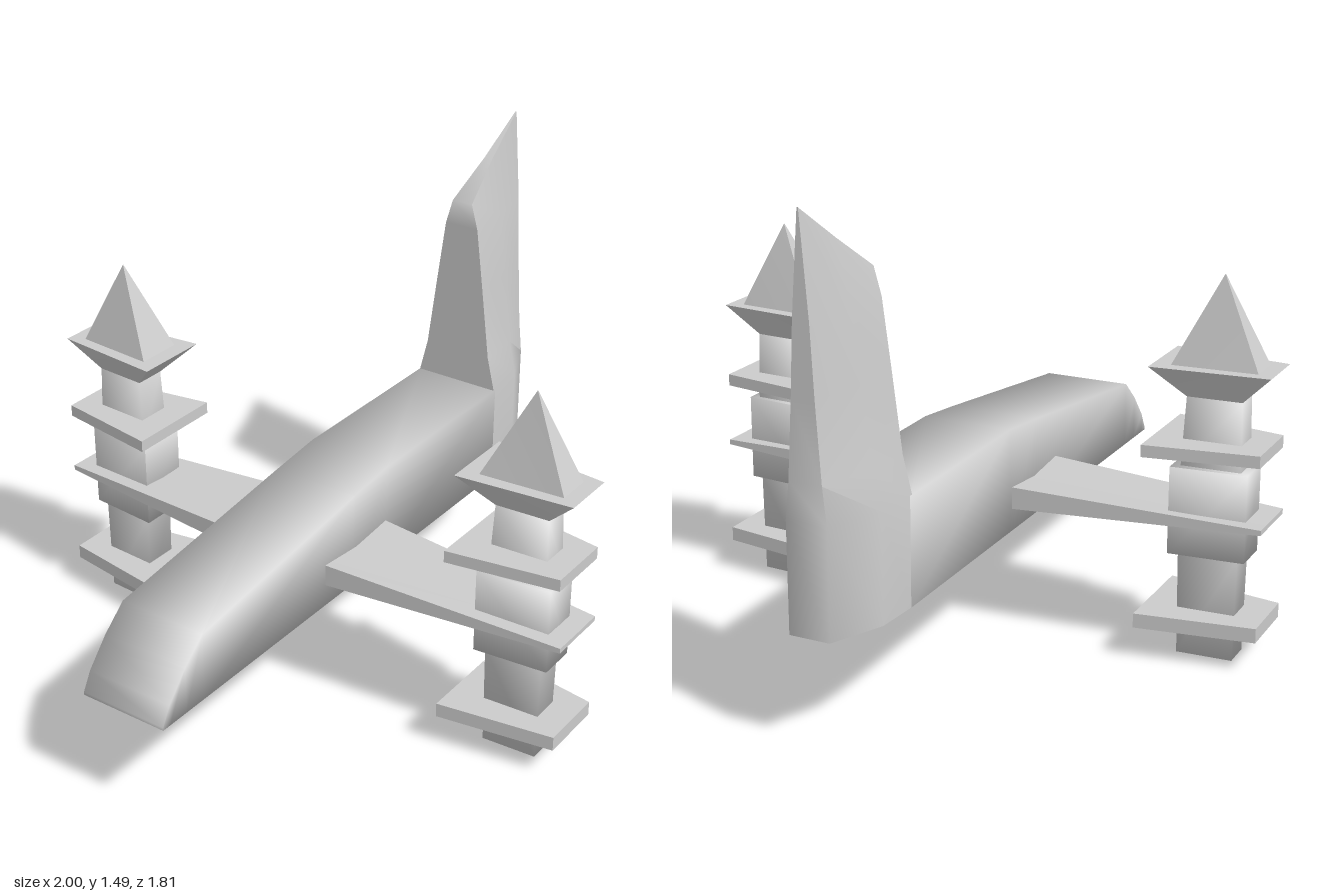
import * as THREE from 'three';
import { toCreasedNormals } from 'three/addons/utils/BufferGeometryUtils.js';

const material = new THREE.MeshStandardMaterial({ color: 0xcccccc });

// Closed skin through matching rings of [x, y, z] points, capped at both ends.
function loft(name, rings, crease) {
  const n = rings[0].length;
  const tris = [];
  for (let r = 0; r < rings.length - 1; r++) {
    for (let i = 0; i < n; i++) {
      const j = (i + 1) % n;
      const a = rings[r][i], b = rings[r][j], c = rings[r + 1][j], d = rings[r + 1][i];
      tris.push([a, b, c], [a, c, d]);
    }
  }
  const cap = (ring, flip) => {
    const mid = [0, 1, 2].map(k => ring.reduce((s, p) => s + p[k], 0) / n);
    ring.forEach((p, i) => {
      const q = ring[(i + 1) % n];
      tris.push(flip ? [mid, q, p] : [mid, p, q]);
    });
  };
  cap(rings[0], true);
  cap(rings[rings.length - 1], false);

  // Turn the faces outward whichever way the rings run
  const [u, v, w] = [0, 1, 2].map(() => new THREE.Vector3());
  const volume = tris.reduce((s, t) =>
    s + u.fromArray(t[0]).dot(v.fromArray(t[1]).cross(w.fromArray(t[2]))), 0);
  if (volume < 0) tris.forEach(t => t.reverse());

  const geometry = new THREE.BufferGeometry();
  geometry.setAttribute('position', new THREE.Float32BufferAttribute(tris.flat(2), 3));
  const mesh = new THREE.Mesh(toCreasedNormals(geometry, crease), material);
  mesh.name = name;
  return mesh;
}

const SMOOTH = 1.65, CRISP = 0.6;
const PYLON_X = -0.09;

// Tapered block: levels of [y, inner z, outer z, inner half width, outer half width]
function taperedBlock(name, side, levels, crease) {
  return loft(name, levels.map(([y, z0, z1, w0, w1]) => [
    [PYLON_X - w0, y, side * z0], [PYLON_X + w0, y, side * z0],
    [PYLON_X + w1, y, side * z1], [PYLON_X - w1, y, side * z1],
  ]), crease);
}

function makePylon(side) {
  const pylon = new THREE.Group();
  pylon.name = side > 0 ? 'frontPylon' : 'rearPylon';
  pylon.add(
    taperedBlock('post', side, [
      [0, 0.64, 0.81, 0.055, 0.045], [0.32, 0.635, 0.815, 0.055, 0.045],
      [0.6, 0.635, 0.815, 0.055, 0.045], [0.8, 0.645, 0.81, 0.05, 0.04],
    ], SMOOTH),
    taperedBlock('lowerPlate', side, [
      [0.1, 0.54, 0.9, 0.16, 0.105], [0.145, 0.54, 0.9, 0.16, 0.105],
    ], CRISP),
    taperedBlock('engineBlock', side, [
      [0.32, 0.61, 0.84, 0.08, 0.06], [0.59, 0.61, 0.84, 0.08, 0.06],
    ], SMOOTH),
    taperedBlock('upperPlate', side, [
      [0.635, 0.55, 0.89, 0.16, 0.105], [0.672, 0.55, 0.89, 0.16, 0.105],
    ], CRISP),
    taperedBlock('flare', side, [
      [0.8, 0.645, 0.81, 0.05, 0.04], [0.895, 0.55, 0.905, 0.12, 0.085],
    ], CRISP),
    taperedBlock('spire', side, [
      [0.89, 0.6, 0.86, 0.075, 0.055], [1.16, 0.73, 0.731, 0.001, 0.001],
    ], CRISP),
  );
  return pylon;
}

// Wing: thin at mid chord, thicker along both edges, tapering toward the tip
function makeWing(side) {
  const section = ([z, half, edge, mid]) => [
    [-half, edge], [0, mid], [half, edge], [half, -edge], [0, -mid], [-half, -edge],
  ].map(([x, y]) => [PYLON_X + x, 0.44 + y, side * z]);
  return loft(side > 0 ? 'frontWing' : 'rearWing',
    [[0.12, 0.16, 0.035, 0.02], [0.9, 0.1, 0.008, 0.007]].map(section), CRISP);
}

// Fuselage: box section following the roof line
function makeFuselage() {
  const roof = [[-1, 0.345], [-0.97, 0.4], [-0.9, 0.48], [-0.82, 0.55],
    [-0.1, 0.64], [0.08, 0.66], [0.7, 0.66]];
  const W = 0.142;
  return loft('fuselage', roof.map(([x, y]) => [
    [x, 0.335, -W], [x, 0.335, W], [x, y, W], [x, y, -W],
  ]), SMOOTH);
}

// Tail: thick front edge, narrow rear edge, thinning upward to a slanted tip
function makeTail() {
  const ring = (y, a, b, c, slope = 0) => [
    [0.69, -a], [0.84, -b], [1, -c], [1, c], [0.84, b], [0.69, a],
  ].map(([x, z]) => [x, y + slope * (x - 0.69), z]);
  return loft('tailFin', [
    ring(0.335, 0.142, 0.132, 0.062),
    ring(0.66, 0.142, 0.132, 0.062),
    ring(0.77, 0.115, 0.108, 0.05),
    ring(1, 0.085, 0.08, 0.035),
    ring(1.2, 0.058, 0.052, 0.025),
    ring(1.28, 0.035, 0.014, 0.002, 0.677),
  ], 1.2);
}

export function createModel() {
  const model = new THREE.Group();
  model.name = 'aircraft';
  model.add(makeFuselage(), makeTail());
  for (const side of [1, -1]) model.add(makeWing(side), makePylon(side));
  return model;
}
